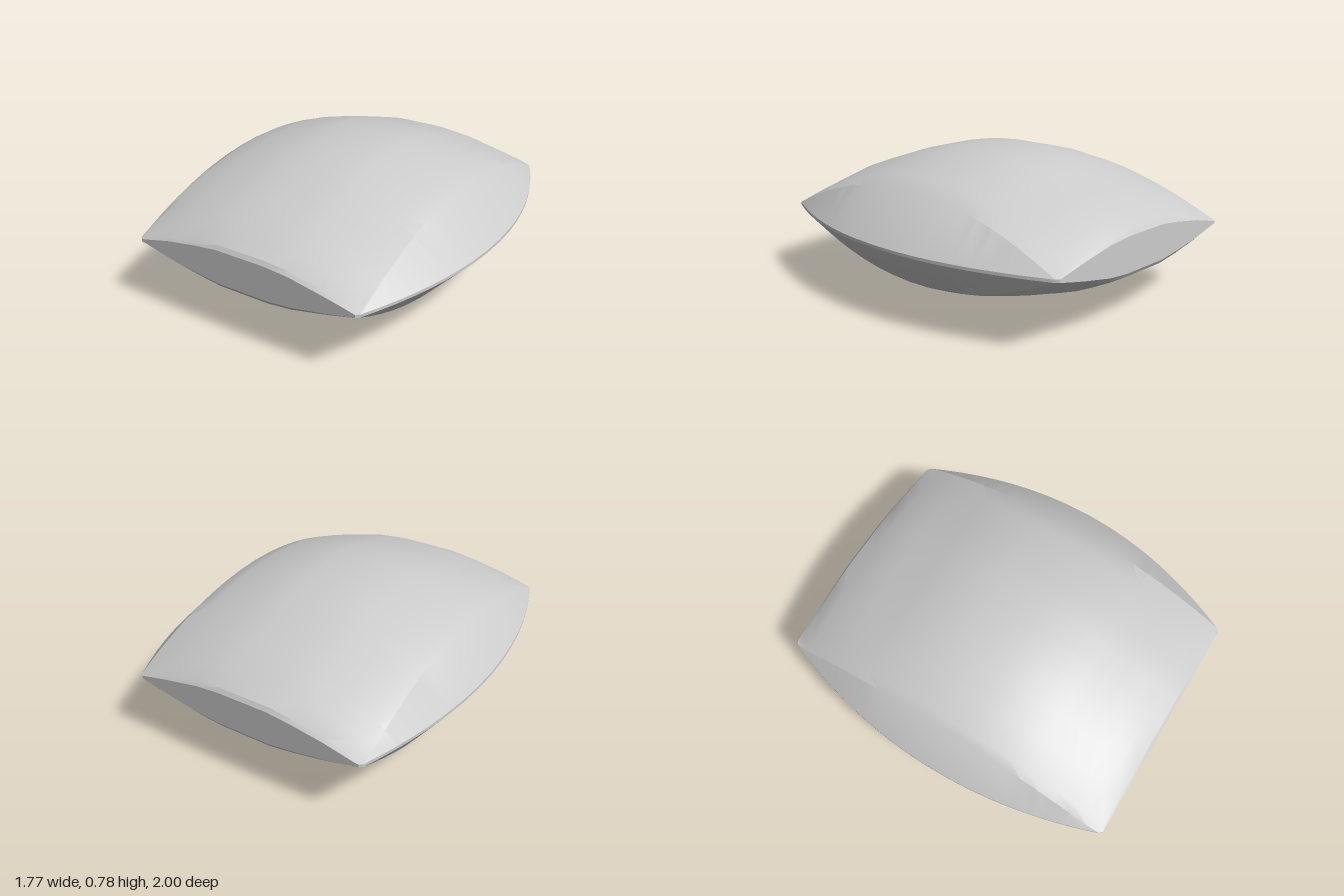
import * as THREE from 'three';
import { toCreasedNormals } from 'three/addons/utils/BufferGeometryUtils.js';

const MID = 0.391;   // height of the seam
const SEAM = 0.008;  // half thickness of the seam

// Half thickness along the middle of the cushion: [|z|, half height]
const SPINE = [[0.15, 0.391], [0.28, 0.371], [0.4, 0.347], [0.5, 0.316], [0.6, 0.282],
  [0.7, 0.25], [0.8, 0.215], [0.9, 0.165], [0.985, 0.117]];
// Crown across the top panel, right to left: [x, 0 at the side ridge .. 1 at the top]
const CROWN = [[0.65, 0], [0.55, 0.28], [0.44, 0.52], [0.26, 0.87], [0.12, 1], [-0.03, 1],
  [-0.18, 1], [-0.33, 0.81], [-0.5, 0.52], [-0.66, 0.13], [-0.71, -0.06]];

// One closed outline, counter-clockwise as seen from the front
function section(z, spine, inset = 1) {
  const bulge = 1 - z * z;
  const ridge = 0.25 * bulge;
  const right = (0.64 + 0.245 * bulge) * inset;
  const left = -(0.70 + 0.19 * bulge) * inset;
  const top = [[right, SEAM]];
  for (const [x, c] of CROWN) {
    top.push([THREE.MathUtils.clamp(x, left, right), Math.max(SEAM, ridge + (spine - ridge) * c)]);
  }
  top.push([left, SEAM]);
  const bottom = top.map(([x, h]) => [x, -h]).reverse();
  return [...top, ...bottom].map(([x, h]) => [x, MID + h, z]);
}

function cushionGeometry() {
  // Sections from back to front, with a small bevel before each flat end
  const half = SPINE.map(([z, h]) => section(z, h));
  half.push(section(1, 0.095, 0.985));
  const mirrored = half.map(ring => ring.map(([x, y, z]) => [x, y, -z])).reverse();
  const rings = [...mirrored, section(0, 0.391), ...half];
  const n = rings[0].length;
  const index = [];
  for (let i = 0; i < rings.length - 1; i++) {
    for (let j = 0; j < n; j++) {
      const k = (j + 1) % n;
      const a = i * n + j, b = i * n + k, c = b + n, d = a + n;
      index.push(a, b, c, a, c, d);
    }
  }
  // Flat lens-shaped ends
  const last = (rings.length - 1) * n;
  for (let j = 1; j < n - 1; j++) {
    index.push(last, last + j, last + j + 1);
    index.push(0, j + 1, j);
  }
  const geometry = new THREE.BufferGeometry();
  geometry.setAttribute('position', new THREE.Float32BufferAttribute(rings.flat(2), 3));
  geometry.setIndex(index);
  return toCreasedNormals(geometry, 0.45);
}

export function createModel() {
  const group = new THREE.Group();
  group.name = 'pillow';
  const cushion = new THREE.Mesh(cushionGeometry(), new THREE.MeshStandardMaterial({ color: 0xcccccc }));
  cushion.name = 'cushion';
  group.add(cushion);
  return group;
}
